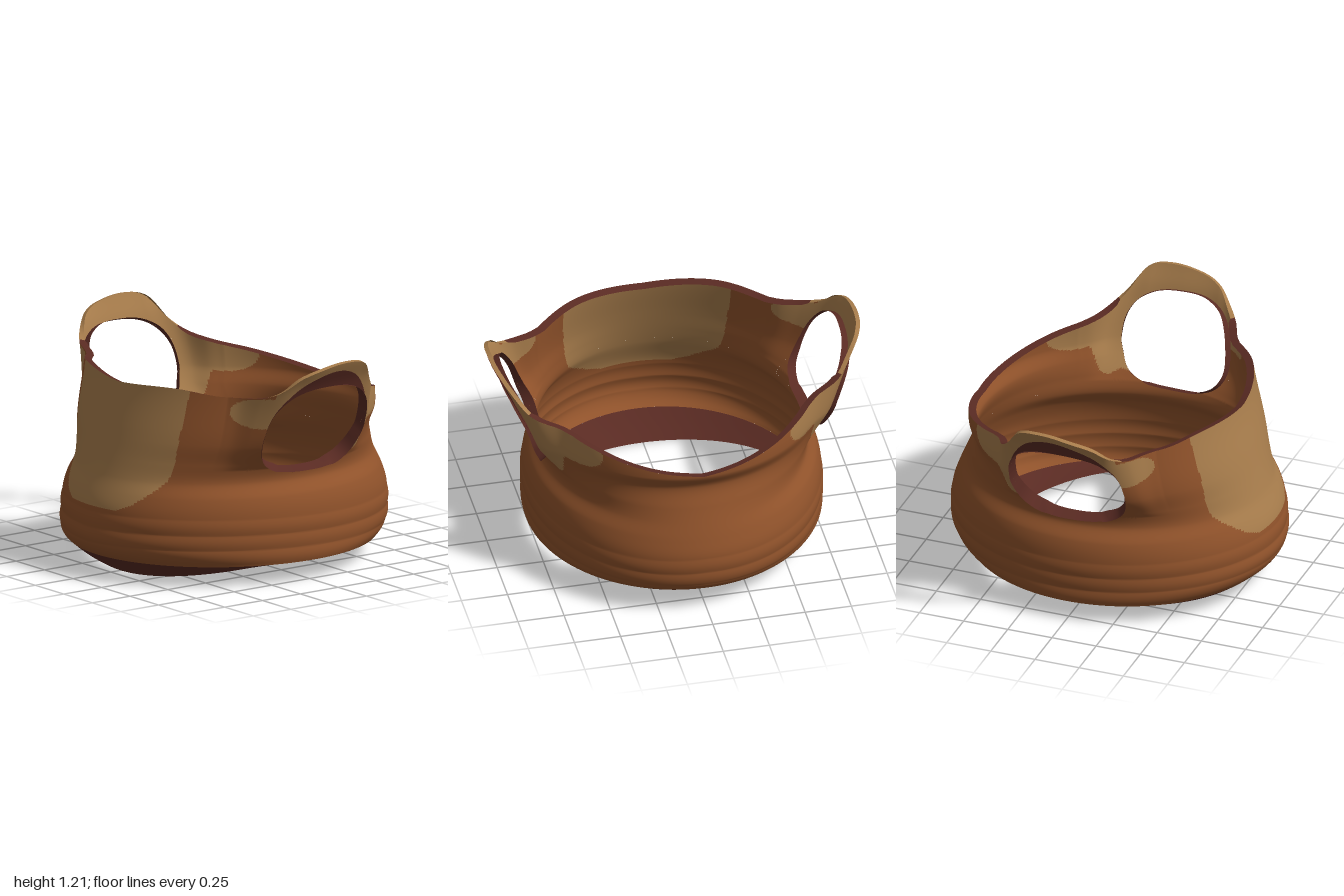
import * as THREE from 'three';

const RAD = Math.PI / 180;
const mat = (name, color) => {
  const m = new THREE.MeshStandardMaterial({ color, side: THREE.DoubleSide });
  m.name = name;
  return m;
};

// Smooth curve through [x, y] points, clamped at both ends
function curve(p) {
  const n = p.length - 1;
  const slope = (i) => {
    const a = p[Math.max(i - 1, 0)], b = p[Math.min(i + 1, n)];
    return (b[1] - a[1]) / (b[0] - a[0]);
  };
  return (x) => {
    if (x <= p[0][0]) return p[0][1];
    if (x >= p[n][0]) return p[n][1];
    let i = 0;
    while (x > p[i + 1][0]) i++;
    const d = p[i + 1][0] - p[i][0], t = (x - p[i][0]) / d, t2 = t * t, t3 = t2 * t;
    return (2 * t3 - 3 * t2 + 1) * p[i][1] + (t3 - 2 * t2 + t) * d * slope(i)
      + (3 * t2 - 2 * t3) * p[i + 1][1] + (t3 - t2) * d * slope(i + 1);
  };
}

// Body profiles by height, neckline and shoulder flare by angle from the front
const frontZ = curve([[0.08, 0.8], [0.115, 0.85], [0.15, 0.88], [0.2, 0.903], [0.28, 0.9], [0.4, 0.885], [0.55, 0.83], [0.8, 0.76], [1.03, 0.7], [1.25, 0.67]]);
const backZ = curve([[0.08, 0.78], [0.115, 0.82], [0.15, 0.865], [0.2, 0.897], [0.36, 0.897], [0.45, 0.87], [0.62, 0.8], [0.73, 0.765], [0.82, 0.8], [1.05, 0.77], [1.25, 0.74]]);
const sideX = curve([[0.08, 0.775], [0.12, 0.787], [0.2, 0.79], [0.38, 0.787], [0.47, 0.765], [0.55, 0.715], [0.65, 0.74], [0.76, 0.785], [0.9, 0.8], [1.25, 0.8]]);
const flareY = curve([[0.62, 0], [0.75, 0.04], [0.9, 0.08], [1.0, 0.11], [1.1, 0.145], [1.21, 0.2], [1.25, 0.21]]);
const flareA = curve([[51, 0], [55, 0.25], [60, 0.9], [66, 1.2], [74, 1.14], [90, 1.0], [104, 1.05], [112, 1.12], [117, 0.95], [122, 0.25], [127, 0]]);
const neckY = curve([[0, 1.03], [28, 1.05], [48, 1.025], [58, 1.03], [65, 1.07], [73, 1.15], [85, 1.195], [97, 1.21], [106, 1.18], [113, 1.06], [120, 0.985], [139, 0.92], [160, 0.86], [180, 0.82]]);
const panelW = curve([[0.385, 0.19], [0.42, 0.27], [0.55, 0.4], [0.7, 0.435], [1.06, 0.46]]);
const creases = [0.11, 0.19, 0.27, 0.355];

const angleOf = (th) => Math.acos(Math.cos(th * RAD)) / RAD;

// Point of the cloth at angle th (degrees) and height y
function cloth(th, y) {
  const a = angleOf(th), s = Math.sin(th * RAD), c = Math.cos(th * RAD);
  let fold = 0;
  const yw = y - 0.012 * Math.sin(2 * a * RAD);
  for (let i = 0; i < 3; i++) {
    const t = (yw - creases[i]) / (creases[i + 1] - creases[i]);
    if (t > 0 && t < 1) fold = 0.005 * Math.sin(Math.PI * t);
  }
  const x = (sideX(y) + fold) * s + Math.sign(s) * flareY(y) * flareA(a);
  return new THREE.Vector3(x, y, ((c > 0 ? frontZ(y) : backZ(y)) + fold) * c);
}

function clothNormal(th, y) {
  const du = cloth(th + 0.4, y).sub(cloth(th - 0.4, y));
  const dv = cloth(th, y + 0.004).sub(cloth(th, y - 0.004));
  return du.cross(dv).normalize();
}

// Grid surface from at(u, v); pick(u, v) chooses the material of each cell
function sheet(nu, nv, at, normalAt, pick) {
  const pos = [], nor = [], lists = [[], []];
  for (let j = 0; j <= nv; j++) for (let i = 0; i <= nu; i++) {
    pos.push(...at(i / nu, j / nv).toArray());
    if (normalAt) nor.push(...normalAt(i / nu, j / nv).toArray());
  }
  for (let j = 0; j < nv; j++) for (let i = 0; i < nu; i++) {
    const a = j * (nu + 1) + i, b = a + 1, c = a + nu + 1, d = c + 1;
    lists[pick ? pick((i + 0.5) / nu, (j + 0.5) / nv) : 0].push(a, b, d, a, d, c);
  }
  const g = new THREE.BufferGeometry();
  g.setAttribute('position', new THREE.Float32BufferAttribute(pos, 3));
  g.setIndex([...lists[0], ...lists[1]]);
  if (normalAt) g.setAttribute('normal', new THREE.Float32BufferAttribute(nor, 3));
  else g.computeVertexNormals();
  if (pick) {
    g.addGroup(0, lists[0].length, 0);
    g.addGroup(lists[0].length, lists[1].length, 1);
  }
  return g;
}

// Armhole, in angle and height
const HC = 88.25, HW = 23.75, HY = 0.845, HH = 0.24, HE = 2.6;
const holeHalf = (a) => HH * Math.pow(Math.max(0, 1 - Math.pow(Math.abs((a - HC) / HW), HE)), 1 / HE);

// Tan areas: front panel and the ends of the shoulder straps
function isTan(th, y) {
  const a = angleOf(th), p = cloth(th, y);
  if (a < 80 && y > 0.385 && Math.abs(p.x) < panelW(y)) return 1;
  const inside = (ca, cy, ra, ry) => ((a - ca) / ra) ** 2 + ((y - cy) / ry) ** 2 < 1;
  if (a > 64 && a < 112.5 && y > HY + 0.04) return 1;
  if (a > 100 && a < 112.5 && y > 0.67) return 1;
  return inside(63, 0.95, 11, 0.085) || inside(115, 0.86, 8, 0.21) || inside(128, 0.89, 12.5, 0.095) ? 1 : 0;
}

export function createModel() {
  const group = new THREE.Group();
  const brown = mat('brown cloth', 0x91532b);
  const tan = mat('tan cloth', 0xa87d4c);
  const dark = mat('dark lining', 0x5a2b23);
  const add = (name, geo, material) => {
    const m = new THREE.Mesh(geo, material);
    m.name = name;
    group.add(m);
  };
  const clothPart = (name, nu, nv, angle, lo, hi) => {
    const y = (u, v) => THREE.MathUtils.lerp(lo(angleOf(angle(u))), hi(angleOf(angle(u))), v);
    add(name, sheet(nu, nv,
      (u, v) => cloth(angle(u), y(u, v)),
      (u, v) => clothNormal(angle(u), y(u, v)),
      (u, v) => isTan(angle(u), y(u, v))), [brown, tan]);
  };
  const span = (a, b) => (u) => a + (b - a) * u;
  const SPLIT = 0.58;

  // Folded waistband, chest and back
  clothPart('waistband', 300, 70, span(-180, 180), () => 0.11, () => SPLIT);
  clothPart('chest', 240, 80, span(HW - HC, HC - HW), () => SPLIT, neckY);
  clothPart('back', 200, 60, span(HC + HW, 360 - HC - HW), () => SPLIT, neckY);

  for (const s of [1, -1]) {
    const side = s > 0 ? 'left' : 'right';
    // Cloth below and above the armhole
    const around = (u) => s * HC - HW * Math.cos(Math.PI * u);
    clothPart(side + 'Underarm', 48, 14, around, () => SPLIT, (a) => HY - holeHalf(a));
    clothPart(side + 'Strap', 48, 16, around, (a) => HY + holeHalf(a), neckY);

    // Dark lining under the strap
    const lineY = (th, v) => {
      const a = angleOf(th);
      const reach = 0.03 + 0.7 * Math.pow(Math.max(0, 1 - ((a - HC) / HW) ** 2), 1.2);
      return THREE.MathUtils.lerp(HY + holeHalf(a), neckY(a), v * reach);
    };
    add(side + 'StrapLining', sheet(48, 8, (u, v) => {
      const th = around(u), y = lineY(th, v);
      return cloth(th, y).addScaledVector(clothNormal(th, y), 0.006);
    }), dark);

    // Thick edge round the armhole, standing out along the bottom and the back
    add(side + 'ArmholeEdge', sheet(96, 2, (u, v) => {
      const c = Math.cos(u * 2 * Math.PI), n = Math.sin(u * 2 * Math.PI);
      const pw = (k) => Math.sign(k) * Math.pow(Math.abs(k), 2 / HE);
      const th = s * (HC + HW * pw(c)), y = HY + HH * pw(n);
      const out = 0.006 + 0.03 * Math.max(0, -n) + 0.015 * Math.max(0, c);
      return cloth(th, y).addScaledVector(clothNormal(th, y), out - (out + 0.035) * v);
    }), dark);
  }

  // Thick edge along the neckline, tan over the straps
  add('neckEdge', sheet(240, 2, (u, v) => {
    const th = -180 + 360 * u, a = angleOf(th), y = neckY(a);
    const depth = a > 60 && a < 116 ? 0.025 : 0.04;
    const p = cloth(th, y).addScaledVector(clothNormal(th, y), -depth * v);
    p.y -= 0.006 * v;
    return p;
  }, null, (u) => {
    const a = angleOf(-180 + 360 * u);
    return a > 62 && a < 115 ? 1 : 0;
  }), [dark, tan]);

  // Hem turned in under the waistband, dipping at front and back
  add('hem', sheet(180, 8, (u, v) => {
    const th = 180 - 360 * u, c = Math.cos(th * RAD);
    const low = 0.11 - (c > 0 ? 0.11 : 0.08) * Math.pow(Math.abs(c), 1.5);
    const inner = new THREE.Vector3(0.7 * Math.sin(th * RAD), low, 0.685 * c);
    const p = cloth(th, 0.11).lerp(inner, v);
    p.y -= 0.008 * Math.sin(Math.PI * v) * Math.abs(c);
    return p;
  }), dark);

  return group;
}
